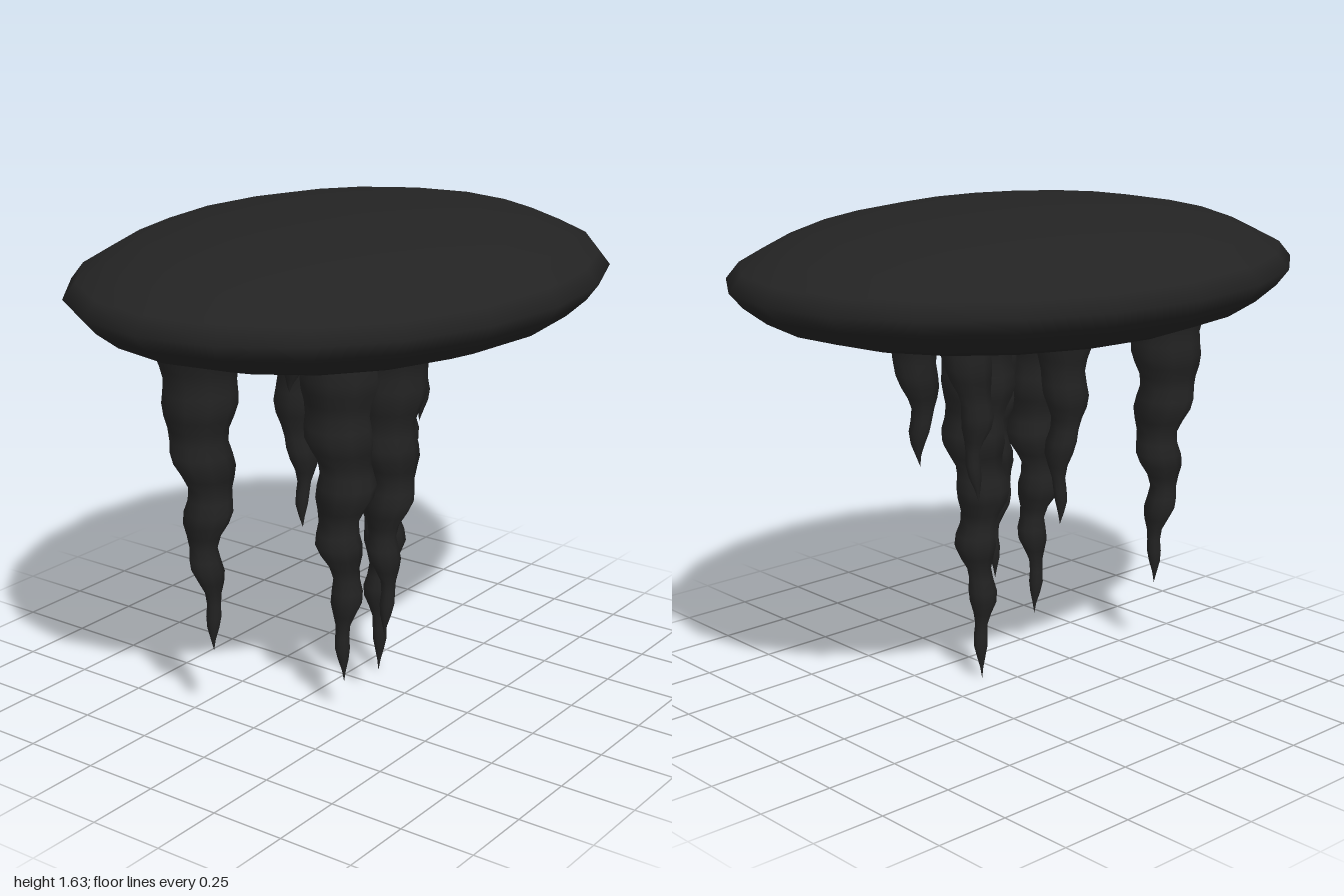
import * as THREE from 'three';

const rock = new THREE.MeshStandardMaterial({ color: 0x232323 });
rock.name = 'dark rock';

// Oval ceiling slab: a lathe squashed along z, profile from bottom centre to top centre
function slab() {
  const profile = [
    [0, 1.22], [0.3, 1.225], [0.52, 1.24], [0.74, 1.272], [0.88, 1.315], [0.955, 1.37],
    [1, 1.42], [0.955, 1.47], [0.85, 1.52], [0.72, 1.565], [0.5, 1.605], [0.25, 1.627], [0, 1.63],
  ].map(([r, y]) => new THREE.Vector2(r, y));
  const geometry = new THREE.LatheGeometry(profile, 20);
  geometry.scale(1, 1, 0.79);
  const mesh = new THREE.Mesh(geometry, rock);
  mesh.name = 'ceilingSlab';
  return mesh;
}

// Rippled tapering spike, leaning from its root (x, z) to its tip
function stalactite({ root, tip, tipY, radius, phase = 0 }) {
  const top = 1.24;
  const length = top - tipY;
  const steps = Math.max(8, Math.round(length / 0.04));
  const points = [];
  for (let i = 0; i <= steps; i++) {
    const h = (i / steps) * length;
    const up = i / steps;
    const ripple = 1 + (0.05 + 0.27 * (1 - up) ** 1.5) * Math.cos((2 * Math.PI * (h - 0.1)) / 0.185 + phase);
    points.push(new THREE.Vector2(radius * up ** 0.85 * ripple, tipY + h));
  }
  // Flared foot sunk into the slab
  points.push(new THREE.Vector2(radius * 1.12, top + 0.03));
  const geometry = new THREE.LatheGeometry(points, 10);

  // Lean and slight wobble of the centre line
  const p = geometry.attributes.position;
  for (let i = 0; i < p.count; i++) {
    const y = p.getY(i);
    const up = Math.min(1, (y - tipY) / length);
    const wobble = 0.012 * Math.sin(Math.PI * up);
    p.setX(i, p.getX(i) + THREE.MathUtils.lerp(tip[0], root[0], up) + wobble * Math.sin(y * 17 + phase * 2));
    p.setZ(i, p.getZ(i) + THREE.MathUtils.lerp(tip[1], root[1], up) + wobble * Math.cos(y * 15 + phase));
  }
  return new THREE.Mesh(geometry, rock);
}

export function createModel() {
  const model = new THREE.Group();
  model.name = 'stalactiteCluster';
  model.add(slab());

  const spikes = [
    { root: [-0.54, -0.165], tip: [-0.53, -0.135], tipY: 0.25, radius: 0.13, phase: 0.4 },
    { root: [-0.25, 0.17], tip: [-0.25, 0.18], tipY: 0.12, radius: 0.135 },
    { root: [-0.13, 0.275], tip: [-0.135, 0.26], tipY: 0.26, radius: 0.125, phase: 0.3 },
    { root: [0.12, 0.075], tip: [0.095, 0.075], tipY: 0, radius: 0.135, phase: -0.4 },
    { root: [0.41, 0.03], tip: [0.395, 0.03], tipY: 0.82, radius: 0.085 },
    { root: [0.2, 0.02], tip: [0.165, 0.01], tipY: 0.66, radius: 0.09, phase: 0.6 },
    { root: [-0.12, -0.1], tip: [-0.1, -0.1], tipY: 0.55, radius: 0.1, phase: 0.9 },
    { root: [-0.39, 0.07], tip: [-0.385, 0.07], tipY: 1.12, radius: 0.045 },
  ];
  spikes.forEach((spec, i) => {
    const mesh = stalactite(spec);
    mesh.name = `stalactite${i + 1}`;
    model.add(mesh);
  });
  return model;
}
